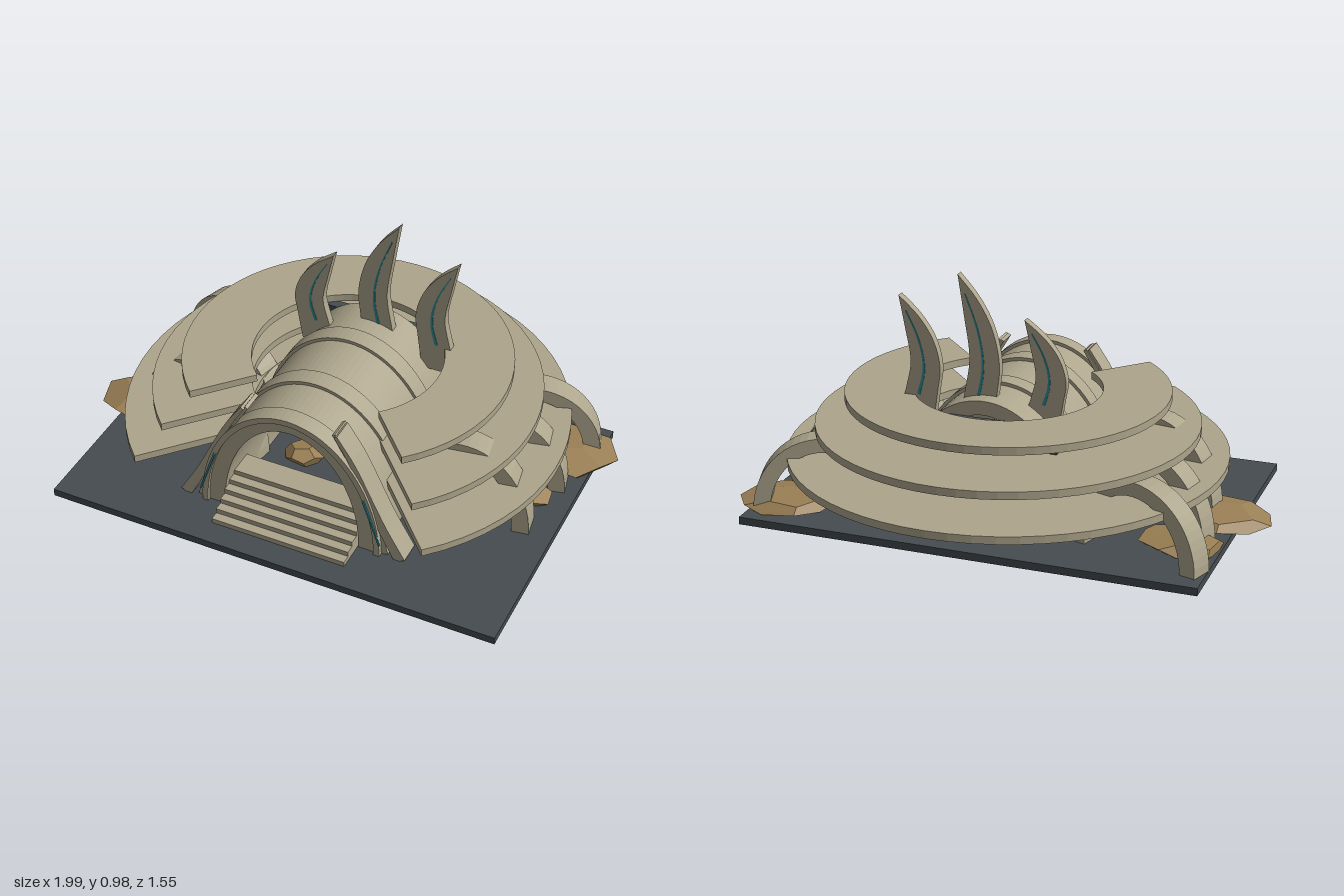
import * as THREE from 'three';

const CX = 0.025; // symmetry axis of the building
const FLOOR = 0.03;

export function createModel() {
  const model = new THREE.Group();
  const mat = (name, color) => {
    const m = new THREE.MeshStandardMaterial({ color });
    m.name = name;
    return m;
  };
  const bone = mat('bone stone', 0xada58c);
  const slate = mat('dark slate', 0x454c4f);
  const rock = mat('brown rock', 0x9b8055);
  const bark = mat('dark brown', 0x5f4c36);
  const teal = mat('teal glow', 0x2f8f9a);

  const add = (name, geo, material, x = 0, y = 0, z = 0, parent = model) => {
    const m = new THREE.Mesh(geo, material);
    m.name = name;
    m.position.set(x, y, z);
    parent.add(m);
    return m;
  };
  const extrude = (shape, depth, curveSegments = 12) =>
    new THREE.ExtrudeGeometry(shape, { depth, curveSegments, bevelEnabled: false });

  // Half-elliptical arch band, extruded along +z
  const archGeo = (w, h, iw, ih, depth, segs) => {
    const s = new THREE.Shape();
    s.absellipse(0, 0, w, h, 0, Math.PI, false);
    s.absellipse(0, 0, iw, ih, Math.PI, 0, true);
    return extrude(s, depth, segs);
  };

  // Curved strip following points in the xy plane, width w0 to w1
  const ribbonGeo = (pts, w0, w1, depth) => {
    const curve = new THREE.CatmullRomCurve3(pts.map(([x, y]) => new THREE.Vector3(x, y, 0)));
    const a = [], b = [], n = 14;
    for (let i = 0; i <= n; i++) {
      const p = curve.getPoint(i / n), t = curve.getTangent(i / n);
      const w = (w0 + (w1 - w0) * i / n) / 2;
      a.push(new THREE.Vector2(p.x - t.y * w, p.y + t.x * w));
      b.unshift(new THREE.Vector2(p.x + t.y * w, p.y - t.x * w));
    }
    return extrude(new THREE.Shape([...a, ...b]), depth);
  };

  // Ground slab
  add('base', new THREE.BoxGeometry(1.79, FLOOR, 1.22), slate, CX, FLOOR / 2, 0.16);

  // Stacked open ring roofs
  [[0.62, 0.49], [0.735, 0.37], [0.845, 0.25]].forEach(([r, top]) => {
    const from = Math.PI / 2 + 0.75, to = Math.PI * 2.5 - 0.75;
    const s = new THREE.Shape();
    s.absarc(0, 0, r, from, to, false);
    s.absarc(0, 0, 0.36, to, from, true);
    add('ringRoof', extrude(s, 0.03, 24).rotateX(Math.PI / 2), bone, CX, top, 0.07);
  });

  // Vaulted hall with raised bands and back wall
  add('hallVault', archGeo(0.352, 0.495, 0.275, 0.44, 0.76, 24), bone, CX, FLOOR, -0.2);
  [[0.505, 0.07], [0.27, 0.075], [-0.015, 0.075]].forEach(([z, d]) =>
    add('vaultBand', archGeo(0.363, 0.508, 0.34, 0.485, d, 24), bone, CX, FLOOR, z));
  add('backWall', new THREE.BoxGeometry(0.6, 0.43, 0.04), slate, CX, FLOOR + 0.215, -0.22);

  // Flared ribs beside the entrance, with glowing seams
  for (const side of [-1, 1]) {
    const path = (dx) => [[0.185, 0.525], [0.25, 0.42], [0.31, 0.29], [0.352 + dx * 0.3, 0.17], [0.4 + dx, FLOOR]]
      .map(([x, y]) => [side * x, y]);
    add('entranceRib', ribbonGeo(path(0.04), 0.014, 0.045, 0.09), bone, CX, 0, 0.475);
    add('entranceRib', ribbonGeo(path(-0.02).map(([x, y]) => [x - side * 0.012, y]), 0.014, 0.045, 0.085),
      bone, CX, 0, 0.47);
    add('entranceSeam', ribbonGeo([[0.3, 0.28], [0.335, 0.18], [0.365, 0.09]].map(([x, y]) => [side * x, y]),
      0.008, 0.006, 0.006), teal, CX, 0, 0.577);
  }

  // Entrance steps
  for (let i = 0; i < 6; i++) {
    const h = 0.02 * (i + 1), front = 0.675 - i * 0.035;
    add('step', new THREE.BoxGeometry(0.54, h, front - 0.4), bone, CX, FLOOR + h / 2, (front + 0.4) / 2);
  }

  // Three curved horns with a glowing line on both faces
  [[-0.181, -0.085, 0.67], [0.06, -0.135, 1], [0.295, -0.135, 0.79]].forEach(([x, z, k]) => {
    const v = (px, py) => new THREE.Vector2(px, py * k);
    const s = new THREE.Shape();
    s.moveTo(-0.045, -0.13 * k);
    s.splineThru([v(-0.065, 0.05), v(-0.075, 0.17), v(-0.048, 0.3), v(0.01, 0.41), v(0.087, 0.5)]);
    s.splineThru([v(0.064, 0.35), v(0.043, 0.19), v(0.06, 0.06), v(0.1, -0.13)]);
    const horn = new THREE.Group();
    horn.name = 'horn';
    horn.position.set(x, 0.48, z);
    model.add(horn);
    add('hornBody', extrude(s, 0.033, 6), bone, 0, 0, 0, horn);
    const line = [[0.012, 0.02], [-0.008, 0.12], [-0.008, 0.2], [0.015, 0.31], [0.06, 0.43]].map(([a, b]) => [a, b * k]);
    add('hornLine', ribbonGeo(line, 0.012, 0.004, 0.037), teal, 0, 0, -0.002, horn);
  });

  // Side buttress arches: centre offset, z, half span, height, tilt
  for (const side of [-1, 1]) {
    [[0.535, 0.23, 0.27, 0.37, 0.16], [0.565, -0.02, 0.28, 0.335, 0.22], [0.62, -0.255, 0.275, 0.3, 0.32]]
      .forEach(([x, z, w, h, tilt]) => {
        const geo = archGeo(w, h, w - 0.065, h - 0.055, 0.095, 14).translate(0, 0, -0.0475);
        add('buttressArch', geo, bone, CX + side * x, FLOOR, z).rotation.y = side * tilt;
      });
  }

  // Flat boulders: x, z, radii, turn
  [[-0.78, 0.16, 0.22, 0.17, 0.2], [-0.72, -0.13, 0.17, 0.13, 0.9], [0.8, -0.26, 0.2, 0.17, 0.5],
    [0.72, 0.04, 0.13, 0.095, 0.1], [-0.1, 0.2, 0.08, 0.07, 0.4]].forEach(([x, z, rx, rz, turn]) => {
    const geo = new THREE.DodecahedronGeometry(1, 0).rotateY(turn).rotateX(0.25).scale(rx, 0.035, rz);
    add('boulder', geo, rock, x, 0.05, z).rotation.z = x > 0 ? -0.04 : 0.04;
  });

  // Altar: curved legs, crystal and clawed branches
  const altar = new THREE.Group();
  altar.name = 'altar';
  altar.position.set(CX, 0, 0.1);
  model.add(altar);
  for (const side of [-1, 1]) {
    const leg = [[0.065, FLOOR], [0.05, 0.14], [0.03, 0.2], [0.012, 0.26]].map(([x, y]) => [side * x, y]);
    add('altarLeg', ribbonGeo(leg, 0.04, 0.015, 0.04), bone, 0, 0, -0.02, altar);
  }
  add('crystal', new THREE.OctahedronGeometry(0.032), teal, 0.005, 0.26, 0.035, altar);
  for (let i = 0; i < 8; i++) {
    const a = i * Math.PI / 4 + 0.3;
    const at = (r, t, z) => new THREE.Vector3(Math.cos(t) * r, 0.265 + Math.sin(t) * r, z);
    const curve = new THREE.CatmullRomCurve3([at(0.025, a, 0), at(0.06, a + 0.25, 0.01), at(0.085, a, 0.03), at(0.1, a - 0.3, 0.04)]);
    add('clawBranch', new THREE.TubeGeometry(curve, 8, 0.006, 5), bark, 0, 0, 0, altar);
  }

  return model;
}
